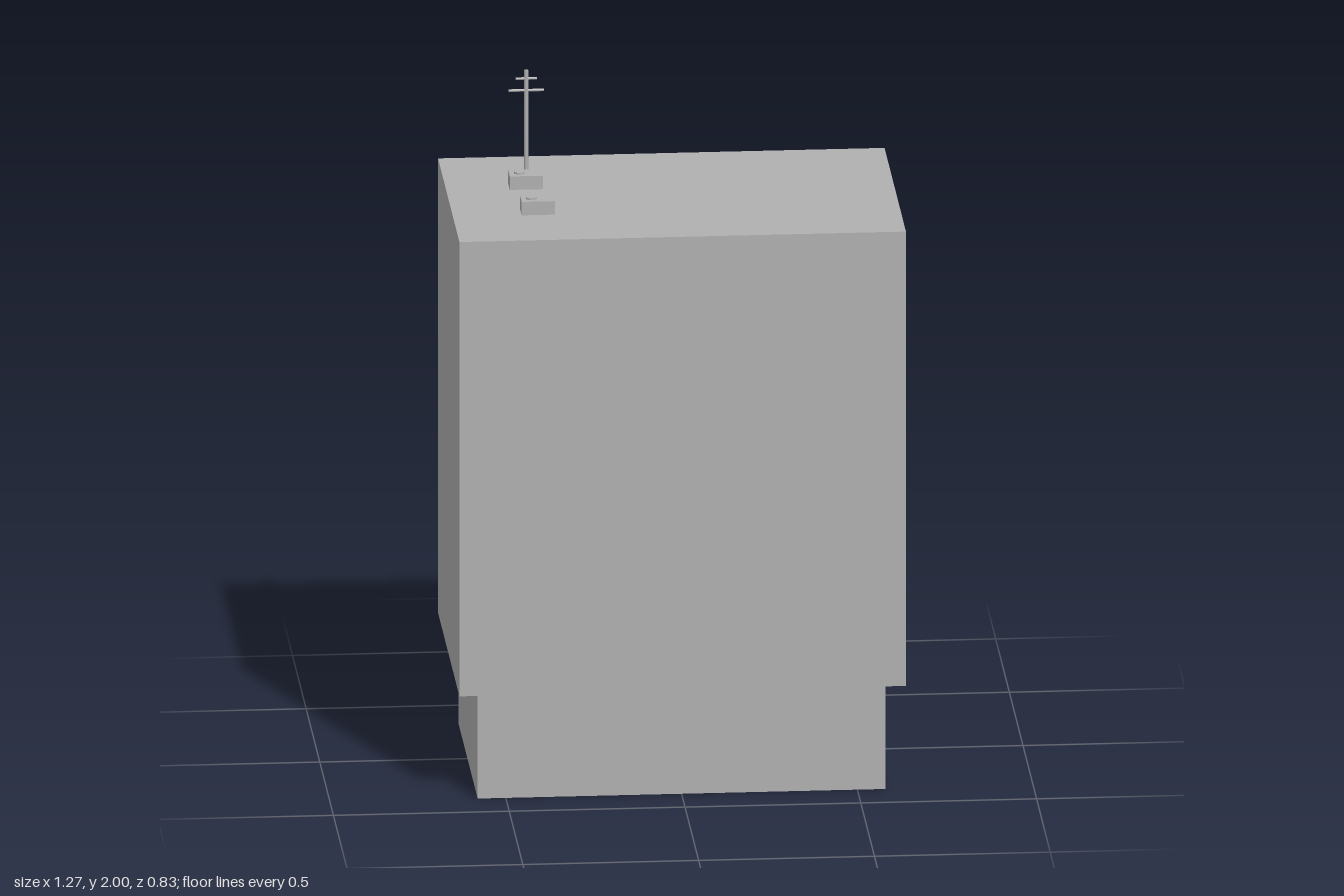
import * as THREE from 'three';

export function createModel() {
  const group = new THREE.Group();
  const grey = new THREE.MeshStandardMaterial({ color: 0xb0b0b0 });
  grey.name = 'concrete grey';
  const RECESS = 0.02;

  function add(name, geometry, x = 0, y = 0, z = 0, parent = group) {
    const mesh = new THREE.Mesh(geometry, grey);
    mesh.name = name;
    mesh.position.set(x, y, z);
    parent.add(mesh);
    return mesh;
  }

  // Box given by its lower and upper limits on each axis
  function block(name, x0, x1, y0, y1, z0, z1, parent) {
    return add(name, new THREE.BoxGeometry(x1 - x0, y1 - y0, z1 - z0),
      (x0 + x1) / 2, (y0 + y1) / 2, (z0 + z1) / 2, parent);
  }

  // Wall plate with rectangular openings; openings touching the base become notches
  function facade(name, x0, x1, y0, y1, z, openings) {
    const shape = new THREE.Shape();
    shape.moveTo(x0, y0);
    openings.filter(o => o[2] <= y0).sort((a, b) => a[0] - b[0]).forEach(([a, b, , top]) => {
      shape.lineTo(a, y0);
      shape.lineTo(a, top);
      shape.lineTo(b, top);
      shape.lineTo(b, y0);
    });
    shape.lineTo(x1, y0);
    shape.lineTo(x1, y1);
    shape.lineTo(x0, y1);
    shape.closePath();
    openings.filter(o => o[2] > y0).forEach(([a, b, c, d]) => {
      const hole = new THREE.Path();
      hole.moveTo(a, c);
      hole.lineTo(a, d);
      hole.lineTo(b, d);
      hole.lineTo(b, c);
      hole.closePath();
      shape.holes.push(hole);
    });
    add(name, new THREE.ExtrudeGeometry(shape, { depth: RECESS, bevelEnabled: false }), 0, 0, z);
  }

  // Upper storeys: five rows of four windows on the rear wall
  const windows = [];
  for (let row = 0; row < 5; row++) {
    for (let col = 0; col < 4; col++) {
      const x = -0.428 + col * 0.285;
      const top = 1.512 - row * 0.2445;
      windows.push([x - 0.093, x + 0.093, top - 0.172, top]);
    }
  }
  block('upperStoreys', -0.635, 0.635, 0.318, 1.67, -0.37 + RECESS, 0.415);
  facade('windowWall', -0.635, 0.635, 0.318, 1.67, -0.37, windows);

  // Ground floor: wide door, two windows and the small entrance
  block('groundFloor', -0.58, 0.58, 0, 0.318, -0.325 + RECESS, 0.375);
  facade('groundWall', -0.58, 0.58, 0, 0.318, -0.325, [
    [0.33, 0.493, 0, 0.211],
    [-0.008, 0.132, 0.062, 0.216],
    [-0.243, -0.102, 0.062, 0.216],
    [-0.475, -0.35, 0.035, 0.19],
  ]);

  // Entrance step and sloping awning with a front lip
  block('entranceStep', -0.48, -0.34, 0.005, 0.032, -0.334, -0.32);
  const awning = new THREE.Shape([
    [0.32, 0.206], [0.325, 0.206], [0.415, 0.172], [0.415, 0.155],
    [0.411, 0.155], [0.411, 0.168], [0.32, 0.202],
  ].map(p => new THREE.Vector2(...p)));
  const awningMesh = add('awning',
    new THREE.ExtrudeGeometry(awning, { depth: 0.138, bevelEnabled: false }), -0.482, 0, 0);
  awningMesh.rotation.y = Math.PI / 2;

  // Roof ventilation units, each with a round fan cap
  [[-0.4075, -0.09], [-0.3925, 0.15]].forEach(([x, z]) => {
    const unit = new THREE.Group();
    unit.name = 'roofUnit';
    group.add(unit);
    block('unitBox', x - 0.0475, x + 0.0475, 1.67, 1.71, z - 0.03, z + 0.03, unit);
    add('fanCap', new THREE.CylinderGeometry(0.015, 0.015, 0.005, 16), x - 0.018, 1.7125, z, unit);
  });

  // Antenna mast and its two crossbars
  const antenna = new THREE.Group();
  antenna.name = 'antenna';
  group.add(antenna);
  add('mast', new THREE.CylinderGeometry(0.006, 0.006, 0.33, 10), -0.402, 1.835, -0.14, antenna);
  [[1.94, 0.1], [1.975, 0.06]].forEach(([y, length]) => {
    const bar = add('crossbar', new THREE.CylinderGeometry(0.004, 0.004, length, 8), -0.402, y, -0.14, antenna);
    bar.rotation.z = Math.PI / 2;
  });

  return group;
}
